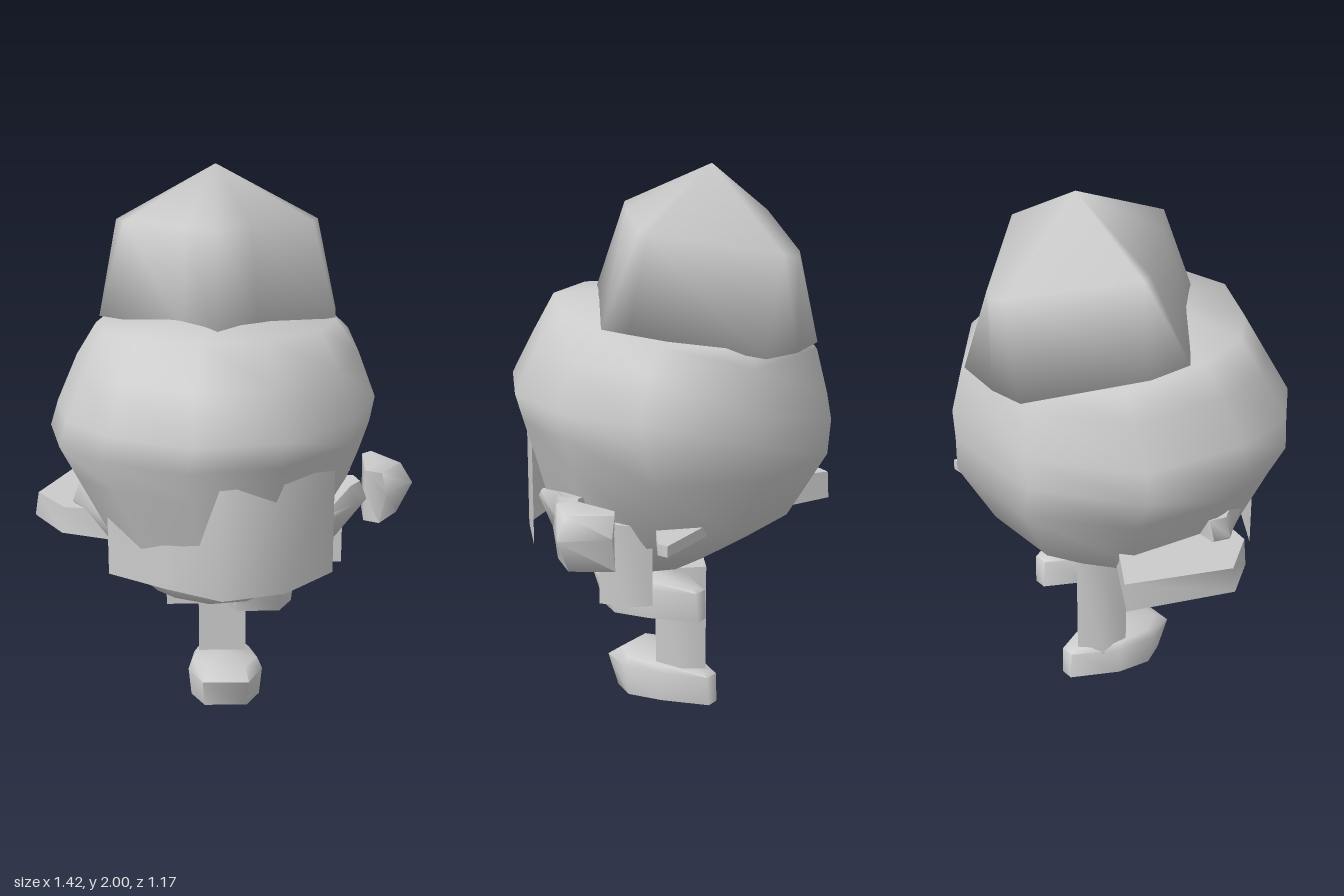
import * as THREE from 'three';
import { toCreasedNormals } from 'three/addons/utils/BufferGeometryUtils.js';

const material = new THREE.MeshStandardMaterial({ color: 0xcccccc, side: THREE.DoubleSide });

// Skins closed rings (ordered back, left, front, right) from bottom to top and caps both ends.
function loft(rings, crease, bottom, top) {
  const n = rings[0].length;
  const centre = (ring) => [0, 1, 2].map((k) => ring.reduce((s, p) => s + p[k], 0) / n);
  const points = rings.flat();
  const low = points.push(bottom ?? centre(rings[0])) - 1;
  const high = points.push(top ?? centre(rings.at(-1))) - 1;
  const index = [];
  for (let i = 0; i < n; i++) {
    const j = (i + 1) % n;
    for (let r = 0; r < rings.length - 1; r++) {
      const a = r * n + i, b = r * n + j;
      index.push(a, a + n, b + n, a, b + n, b);
    }
    const last = (rings.length - 1) * n;
    index.push(low, i, j, high, last + j, last + i);
  }
  const geometry = new THREE.BufferGeometry();
  geometry.setAttribute('position', new THREE.Float32BufferAttribute(points.flat(), 3));
  geometry.setIndex(index);
  geometry.computeVertexNormals();
  return crease ? toCreasedNormals(geometry, crease) : geometry;
}

// Straight-sided block from a plan outline.
const block = (plan, y0, y1) => loft([y0, y1].map((y) => plan.map(([x, z]) => [x, y, z])), 1.4);

// Upright sheet following a path in plan.
function sheet(path, y0, y1) {
  const points = path.flatMap(([x, z]) => [x, y0, z, x, y1, z]);
  const index = [];
  for (let i = 0; i < path.length - 1; i++) {
    const a = i * 2;
    index.push(a, a + 2, a + 3, a, a + 3, a + 1);
  }
  const geometry = new THREE.BufferGeometry();
  geometry.setAttribute('position', new THREE.Float32BufferAttribute(points, 3));
  geometry.setIndex(index);
  geometry.computeVertexNormals();
  return geometry;
}

export function createModel() {
  const model = new THREE.Group();
  const add = (name, geometry, x = 0, y = 0, z = 0) => {
    const mesh = new THREE.Mesh(geometry, material);
    mesh.name = name;
    mesh.position.set(x, y, z);
    model.add(mesh);
  };

  // Head: one irregular outline rescaled at each height
  const outline = [
    [-0.24, -0.58], [0.2, -0.58], [0.52, -0.32], [0.53, 0.03], [0.43, 0.3], [0.18, 0.53],
    [-0.13, 0.58], [-0.42, 0.45], [-0.57, 0.3], [-0.62, 0.05], [-0.56, -0.32],
  ];
  // height, right, left, back, front, tilt
  const levels = [
    [0.53, -0.27, 0.22, -0.13, 0.36, 0],
    [0.62, -0.38, 0.33, -0.28, 0.42, 0],
    [0.74, -0.44, 0.39, -0.45, 0.47, 0],
    [0.98, -0.57, 0.49, -0.58, 0.53, 0],
    [1.1, -0.63, 0.525, -0.575, 0.56, 0],
    [1.2, -0.6, 0.54, -0.57, 0.59, 0],
    [1.36, -0.53, 0.48, -0.54, 0.5, 0],
    [1.47, -0.46, 0.4, -0.5, 0.42, 0.1],
  ];
  const rings = levels.map(([y, x0, x1, z0, z1, tilt]) => outline.map(([x, z]) => {
    const pz = z0 + (z + 0.58) / 1.16 * (z1 - z0);
    return [x0 + (x + 0.62) / 1.15 * (x1 - x0), y + tilt * pz, pz];
  }));
  add('head', loft(rings, 0, [-0.03, 0.455, 0.1], [-0.04, 1.54, 0.1]));

  // Hat: wide brim rising to a diamond-shaped crown and a peak
  const brim = [
    [-0.18, 1.39, -0.55], [-0.03, 1.38, -0.56], [0.15, 1.39, -0.55], [0.41, 1.47, -0.17],
    [0.4, 1.47, -0.05], [0.11, 1.5, 0.2], [-0.03, 1.5, 0.32], [-0.15, 1.5, 0.2],
    [-0.45, 1.48, -0.05], [-0.45, 1.48, -0.22],
  ];
  const crown = [
    [-0.08, 1.72, -0.53], [-0.03, 1.71, -0.56], [0.02, 1.72, -0.53], [0.34, 1.8, -0.2],
    [0.32, 1.8, -0.15], [0.09, 1.83, 0.08], [-0.03, 1.84, 0.18], [-0.14, 1.83, 0.08],
    [-0.36, 1.8, -0.15], [-0.39, 1.8, -0.2],
  ];
  add('hat', loft([brim, crown], 0, null, [-0.03, 2, -0.2]));

  // Folded face covering
  add('facePanel', sheet([[-0.42, 0.29], [-0.22, 0.42], [-0.02, 0.53], [0.2, 0.47], [0.38, 0.29]], 0.62, 1.03));

  // Bands beside the face panel
  for (const [name, side, shift] of [['leftBand', 1, 0], ['rightBand', -1, -0.04]]) {
    const band = (s, y, lift) => [[0.4, 0], [0.5, 0], [0.52, 0.06], [0.48, 0.11], [0.36, 0.28], [0.3, 0.26]]
      .map(([x, z]) => [side * x * s + shift, y + (z < 0.2 ? lift : 0), z]);
    const order = (ring) => (side > 0 ? ring : ring.reverse());
    add(name, loft([order(band(0.78, 0.66, 0)), order(band(1, 0.81, 0)), order(band(0.95, 0.83, 0.05))], 1.2));
  }

  // Limb section: wide at the front, narrowing to the back
  const limb = (y0, y1) => block([
    [0, -0.085], [0.065, -0.02], [0.09, 0.08], [-0.09, 0.08], [-0.075, -0.02],
  ], y0, y1);

  // Left arm: sleeve, flat slab behind it, and hand
  add('leftSleeve', limb(0.5, 0.8), 0.355, 0, -0.145);
  add('leftArm', block([[0.2, -0.38], [0.5, -0.4], [0.5, -0.36], [0.3, -0.2]], 0.76, 0.8));
  const palm = (sx, y) => [
    [0.53, -0.2], [0.58, -0.23], [0.71, -0.1], [0.6, 0.01], [0.52, -0.02],
  ].map(([x, z]) => [0.52 + (x - 0.52) * sx, y, z]);
  add('leftHand', loft([palm(0.7, 0.69), palm(1, 0.81), palm(0.75, 0.89)], 1.4));

  // Right arm, a flat pointed slab that thickens toward the body
  const slab = [[-0.55, -0.4], [-0.2, -0.18], [-0.33, 0.14], [-0.6, 0.1], [-0.71, -0.05]];
  add('rightArm', loft([
    slab.map(([x, z]) => [x, 0.71 - 0.1 * (x + 0.71), z]),
    slab.map(([x, z]) => [x * 0.98, 0.8, z]),
  ], 1.2));

  // Standing leg, foot, and raised foot
  add('standingLeg', limb(0.1, 0.53), -0.01, 0, -0.12);
  const sole = [
    [-0.02, -0.25], [0.03, -0.25], [0.1, -0.08], [0.13, 0.05], [0.08, 0.14],
    [-0.08, 0.14], [-0.13, 0.05], [-0.11, -0.08],
  ];
  const shoe = () => loft([
    sole.map(([x, z]) => [x, 0, z]),
    sole.map(([x, z]) => [x * 1.08, 0.115 + z * 0.02, z > 0 ? z * 1.3 : z * 0.98]),
    sole.map(([x, z]) => [x * 0.95, 0.145 + z * 0.1, z * 0.9]),
  ], 1.2);
  add('standingFoot', shoe());
  add('raisedFoot', shoe(), 0.12, 0.38, -0.03);

  // Hem piece below the head
  add('hem', new THREE.BoxGeometry(0.24, 0.13, 0.03), -0.1, 0.455, 0.05);

  return model;
}
